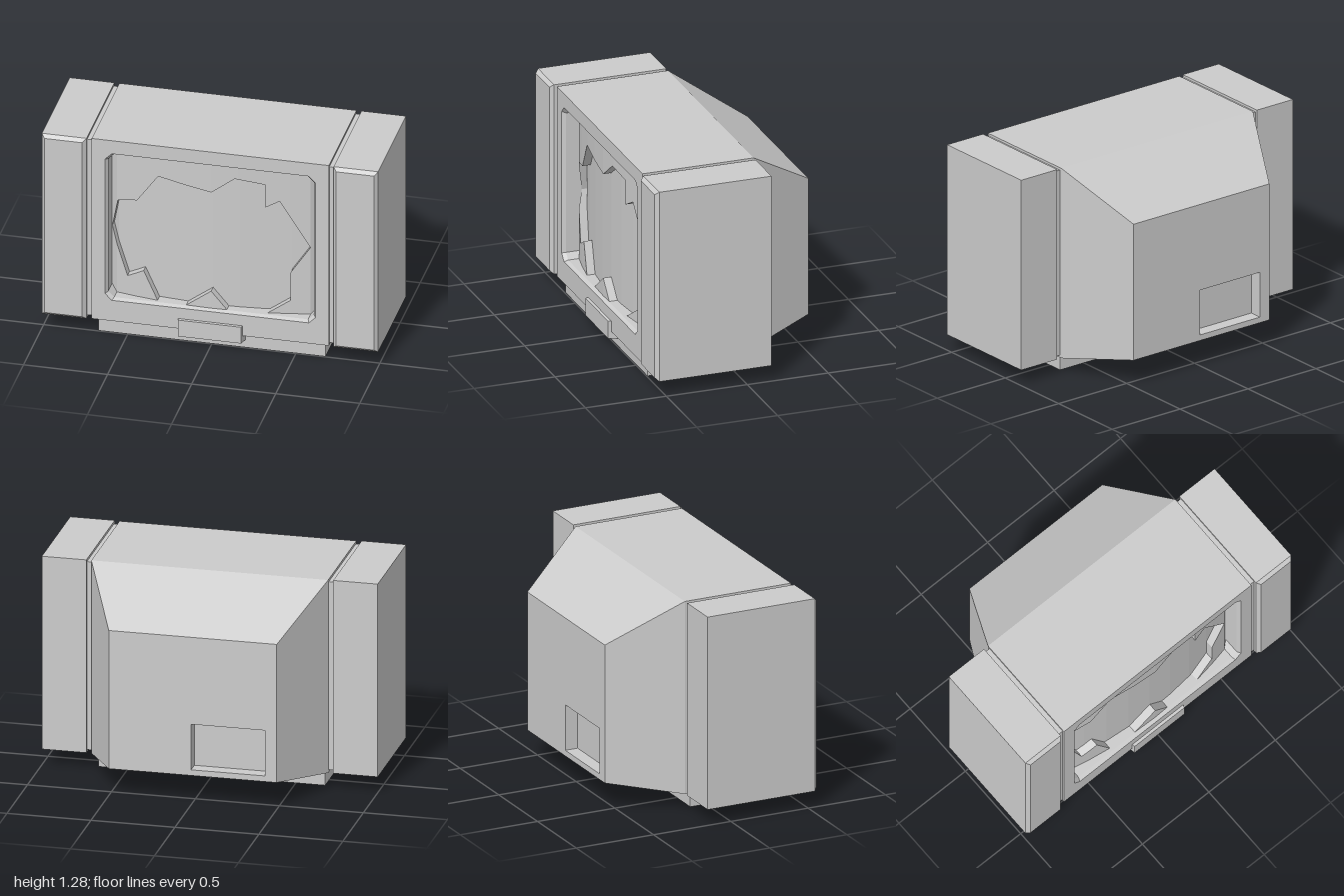
import * as THREE from 'three';

const grey = new THREE.MeshStandardMaterial({ color: 0xcccccc });
const greyDouble = new THREE.MeshStandardMaterial({ color: 0xcccccc, side: THREE.DoubleSide });

// Collects flat-shaded quads given as four corners
function quadMesh(name, quads, material = grey) {
  const pos = [];
  const tri = (a, b, c) => {
    const area = new THREE.Triangle(...[a, b, c].map(p => new THREE.Vector3(...p))).getArea();
    if (area > 1e-9) pos.push(...a, ...b, ...c);
  };
  for (const [a, b, c, d] of quads) { tri(a, b, c); tri(a, c, d); }
  const geo = new THREE.BufferGeometry();
  geo.setAttribute('position', new THREE.Float32BufferAttribute(pos, 3));
  geo.computeVertexNormals();
  const mesh = new THREE.Mesh(geo, material);
  mesh.name = name;
  return mesh;
}

// Rectangle with cut corners at depth z, counter-clockwise seen from the front
function ring(x0, x1, y0, y1, z, cut = 0) {
  return [[x0 + cut, y0], [x1 - cut, y0], [x1, y0 + cut], [x1, y1 - cut],
    [x1 - cut, y1], [x0 + cut, y1], [x0, y1 - cut], [x0, y0 + cut]].map(([x, y]) => [x, y, z]);
}

// Skins a chain of rings; the first and last ring can be closed
function loft(name, rings, capStart = true, capEnd = true) {
  const quads = [];
  for (let r = 0; r + 1 < rings.length; r++) {
    const a = rings[r], b = rings[r + 1];
    for (let i = 0; i < 8; i++) {
      const j = (i + 1) % 8;
      quads.push([a[i], a[j], b[j], b[i]]);
    }
  }
  const cap = (p) => [[p[0], p[1], p[2], p[3]], [p[0], p[3], p[4], p[7]], [p[4], p[5], p[6], p[7]]];
  if (capStart) quads.push(...cap(rings[0]).map(q => q.reverse()));
  if (capEnd) quads.push(...cap(rings[rings.length - 1]));
  return quadMesh(name, quads);
}

function box(name, x0, x1, y0, y1, z0, z1) {
  const mesh = new THREE.Mesh(new THREE.BoxGeometry(x1 - x0, y1 - y0, z1 - z0), grey);
  mesh.position.set((x0 + x1) / 2, (y0 + y1) / 2, (z0 + z1) / 2);
  mesh.name = name;
  return mesh;
}

// Height of a polyline at x, clamped at its ends
function along(points, x) {
  if (x <= points[0][0]) return points[0][1];
  for (let i = 1; i < points.length; i++) {
    const [xa, ya] = points[i - 1], [xb, yb] = points[i];
    if (x <= xb) return ya + (yb - ya) * (x - xa) / (xb - xa);
  }
  return points[points.length - 1][1];
}

// Curved, broken screen: jagged glass over a parallel backing
function createScreen() {
  const bottom = 0.235, top = 1.192, thickness = 0.05;
  const curve = [-0.62, -0.575, -0.46, -0.31, -0.155, 0, 0.155, 0.31, 0.46, 0.575, 0.62]
    .map(x => [x, Math.abs(x) > 0.6 ? 0.41 : 0.515 - 0.2 * x * x]);
  const upper = [[-0.61, 0.66], [-0.57, 0.85], [-0.45, 0.875], [-0.32, 1.06], [0, 1.005], [0.14, 1.11],
    [0.315, 1.085], [0.317, 0.935], [0.4, 0.98], [0.575, 0.68]];
  const lower = [[-0.61, 0.66], [-0.51, 0.365], [-0.41, 0.42], [-0.32, bottom], [-0.16, bottom], [0, 0.355],
    [0.1, bottom], [0.32, bottom], [0.461, 0.33], [0.463, 0.515], [0.575, 0.68]];
  const xs = [...new Set([...curve, ...upper, ...lower].map(p => p[0]))].sort((a, b) => a - b);
  const glass = [], backing = [];
  for (let i = 0; i + 1 < xs.length; i++) {
    const a = xs[i], b = xs[i + 1];
    const za = along(curve, a), zb = along(curve, b);
    const ua = along(upper, a), ub = along(upper, b), la = along(lower, a), lb = along(lower, b);
    const strip = (ya, yb, y2a, y2b, d) =>
      [[a, ya, za - d], [b, yb, zb - d], [b, y2b, zb - d], [a, y2a, za - d]];
    const edge = (ya, yb) =>
      [[a, ya, za], [b, yb, zb], [b, yb, zb - thickness], [a, ya, za - thickness]];
    glass.push(strip(ua, ub, top, top, 0), strip(bottom, bottom, la, lb, 0));
    if (ua - la > 0.001 || ub - lb > 0.001) glass.push(edge(ua, ub), edge(la, lb));
    backing.push(strip(bottom, bottom, top, top, thickness));
  }
  const group = new THREE.Group();
  group.name = 'screen';
  group.add(quadMesh('brokenGlass', glass, greyDouble), quadMesh('screenBacking', backing, greyDouble));
  return group;
}

export function createModel() {
  const model = new THREE.Group();
  model.name = 'brokenTelevision';

  // Casing: rear recess, tapered back, body and screen opening in one skin
  model.add(loft('casing', [
    ring(-0.43, 0.01, 0.2, 0.48, -0.485),
    ring(-0.43, 0.01, 0.2, 0.48, -0.565),
    ring(-0.5, 0.5, 0.165, 1.015, -0.565),
    ring(-0.705, 0.705, 0.097, 1.283, -0.15),
    ring(-0.705, 0.705, 0.097, 1.283, 0.537),
    ring(-0.626, 0.626, 0.232, 1.197, 0.537, 0.04),
    ring(-0.612, 0.612, 0.243, 1.185, 0.515, 0.035),
    ring(-0.612, 0.612, 0.243, 1.185, 0.34, 0.035),
  ], true, false));
  model.add(createScreen());

  // Side speakers with bevelled fronts, joined by recessed strips
  for (const side of [1, -1]) {
    const name = side > 0 ? 'left' : 'right';
    const section = (inset, z) => {
      const a = side * (0.735 + inset), b = side * (1 - inset);
      return ring(Math.min(a, b), Math.max(a, b), 0.097 + inset, 1.283 - inset, z);
    };
    model.add(loft(name + 'Speaker', [section(0, -0.15), section(0, 0.543), section(0.02, 0.565)]));
    const s0 = side * 0.69, s1 = side * 0.745;
    model.add(box(name + 'JoiningStrip', Math.min(s0, s1), Math.max(s0, s1), 0.112, 1.268, -0.137, 0.525));
  }

  // Base plinth and control block
  model.add(box('base', -0.675, 0.675, 0, 0.1, -0.1, 0.495));
  model.add(loft('controlBlock', [
    ring(-0.2, 0.2, 0.05, 0.165, 0.49),
    ring(-0.188, 0.188, 0.055, 0.162, 0.555),
  ]));
  return model;
}
